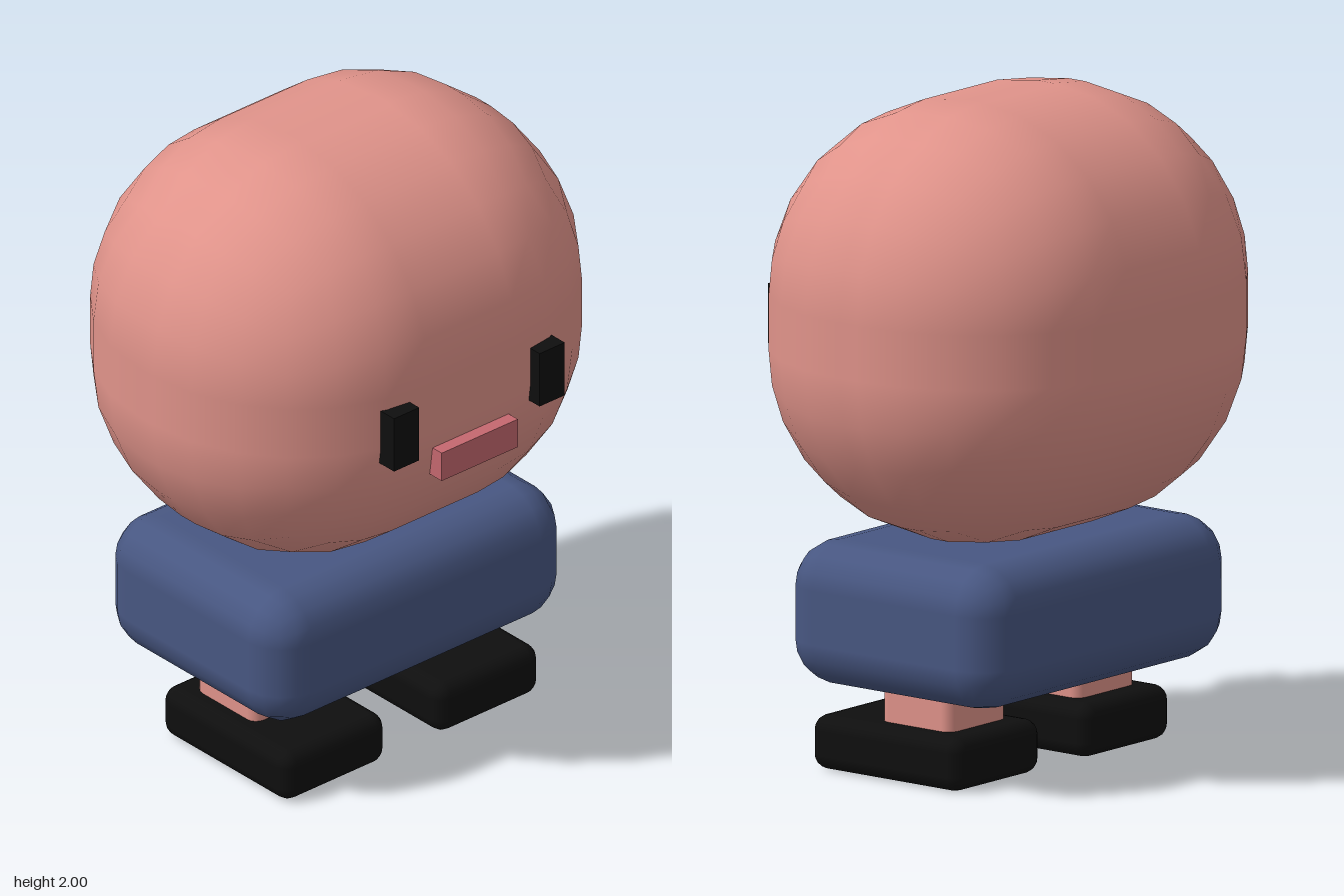
import * as THREE from 'three';

const material = (name, color) => {
  const m = new THREE.MeshStandardMaterial({ color });
  m.name = name;
  return m;
};

// Box given by [min, max] on each axis, with rounded edges of equal angular steps
function roundedBox([x0, x1], [y0, y1], [z0, z1], radius, steps) {
  const n = steps * 2 + 1;
  const geo = new THREE.BoxGeometry(1, 1, 1, n, n, n);
  const pos = geo.attributes.position;
  const core = new THREE.Vector3(x1 - x0, y1 - y0, z1 - z0).multiplyScalar(0.5).subScalar(radius);
  const p = new THREE.Vector3();
  const dir = new THREE.Vector3();
  const bend = (v) => Math.tan(((v - Math.sign(v) * 0.5 / n) / (steps / n)) * Math.PI / 4);
  for (let i = 0; i < pos.count; i++) {
    p.fromBufferAttribute(pos, i);
    dir.set(bend(p.x), bend(p.y), bend(p.z)).normalize();
    pos.setXYZ(i,
      Math.sign(p.x) * core.x + dir.x * radius,
      Math.sign(p.y) * core.y + dir.y * radius,
      Math.sign(p.z) * core.z + dir.z * radius);
    geo.attributes.normal.setXYZ(i, dir.x, dir.y, dir.z);
  }
  return geo.translate((x0 + x1) / 2, (y0 + y1) / 2, (z0 + z1) / 2);
}

// Sharp box given by [min, max] on each axis
function block([x0, x1], [y0, y1], [z0, z1]) {
  return new THREE.BoxGeometry(x1 - x0, y1 - y0, z1 - z0)
    .translate((x0 + x1) / 2, (y0 + y1) / 2, (z0 + z1) / 2);
}

export function createModel() {
  const model = new THREE.Group();
  model.name = 'character';
  const skin = material('skin', 0xe0938a);
  const blue = material('blueShirt', 0x485782);
  const black = material('black', 0x0f0f0f);
  const rose = material('roseMouth', 0xc5686f);

  const add = (name, geometry, mat) => {
    const mesh = new THREE.Mesh(geometry, mat);
    mesh.name = name;
    model.add(mesh);
  };

  // Head and torso
  add('head', roundedBox([-0.745, 0.742], [0.685, 2], [-0.622, 0.592], 0.575, 3), skin);
  add('body', roundedBox([-0.582, 0.578], [0.26, 0.693], [-0.42, 0.39], 0.135, 2), blue);

  // Face
  add('mouth', block([-0.15, 0.147], [1.105, 1.2], [0.52, 0.625]), rose);

  // Paired parts
  for (const [side, s] of [['left', 1], ['right', -1]]) {
    const span = (a, b) => (s > 0 ? [a - 0.003, b - 0.003] : [-b - 0.003, -a - 0.003]);
    add(side + 'Eye', block(span(0.235, 0.333), [1.21, 1.39], [0.5, 0.625]), black);
    add(side + 'Leg', roundedBox(span(0.163, 0.433), [0.08, 0.36], [-0.148, 0.12], 0.035, 2), skin);
    add(side + 'Shoe', roundedBox(span(0.1, 0.5), [0, 0.163], [-0.23, 0.335], 0.045, 2), black);
  }

  return model;
}
